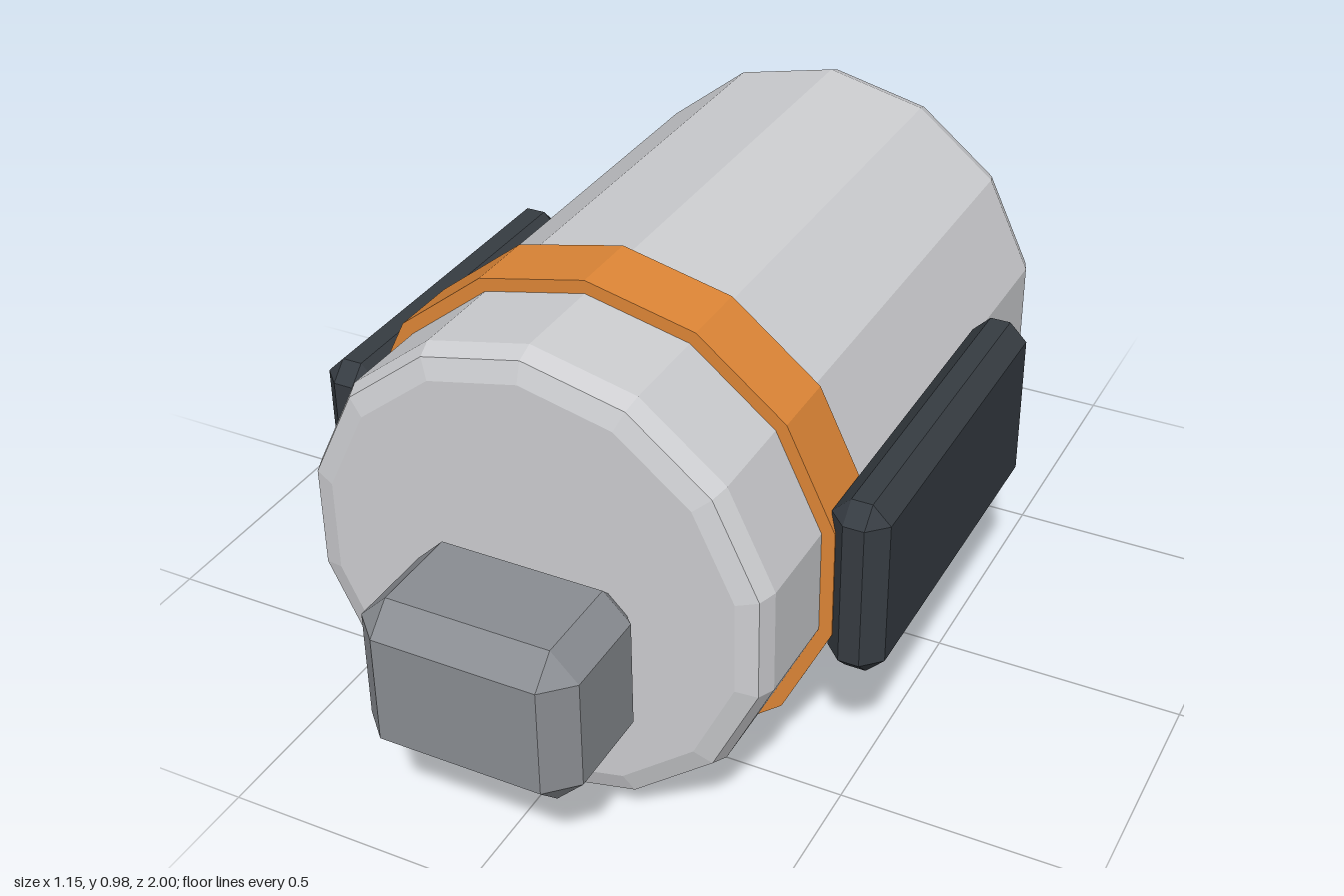
import * as THREE from 'three';
import { ConvexGeometry } from 'three/addons/geometries/ConvexGeometry.js';

const SIDES = 14;
const AXIS_Y = 0.494;

function material(name, color) {
  const m = new THREE.MeshStandardMaterial({ color, flatShading: true });
  m.name = name;
  return m;
}

// Faceted solid of revolution along z, from [radius, z] pairs running back to front
function turned(profile) {
  const points = profile.map(([r, z]) => new THREE.Vector2(r, z));
  return new THREE.LatheGeometry(points, SIDES).rotateX(Math.PI / 2).translate(0, AXIS_Y, 0);
}

// Box with every edge cut at 45 degrees
function chamferedBox(w, h, d, c) {
  const half = [w / 2, h / 2, d / 2];
  const points = [];
  for (const sx of [-1, 1]) for (const sy of [-1, 1]) for (const sz of [-1, 1]) {
    for (let full = 0; full < 3; full++) {
      const [x, y, z] = half.map((v, i) => (i === full ? v : v - c));
      points.push(new THREE.Vector3(sx * x, sy * y, sz * z));
    }
  }
  return new ConvexGeometry(points);
}

export function createModel() {
  const model = new THREE.Group();
  model.name = 'capsule';
  const lightGrey = material('light grey', 0xcdced1);
  const midGrey = material('mid grey', 0x8a8d92);
  const darkGrey = material('dark grey', 0x363c42);
  const orange = material('orange', 0xde8636);

  const add = (name, geometry, mat) => {
    const mesh = new THREE.Mesh(geometry, mat);
    mesh.name = name;
    model.add(mesh);
    return mesh;
  };

  // Barrel with softened rims
  add('body', turned([
    [0, -0.575], [0.41, -0.575], [0.45, -0.562], [0.464, -0.528],
    [0.464, 0.703], [0.45, 0.737], [0.41, 0.75], [0, 0.75],
  ]), lightGrey);

  // Raised band round the front of the barrel
  add('band', turned([
    [0.44, 0.378], [0.49, 0.378], [0.49, 0.517], [0.44, 0.517],
  ]), orange);

  // Rear collar and the stretched dome seated in it
  add('collar', turned([
    [0, -0.645], [0.393, -0.645], [0.393, -0.57], [0, -0.57],
  ]), darkGrey);
  const dome = new THREE.SphereGeometry(0.305, 10, 5).rotateY(Math.PI / 2);
  dome.scale(1, 1, 1.35).translate(0, AXIS_Y, -0.608);
  add('rearDome', dome, orange);

  // Block on the front face
  add('frontBlock', chamferedBox(0.426, 0.322, 0.285, 0.053), midGrey)
    .position.set(0, 0.387, 0.8575);

  // Side pods
  for (const [name, side] of [['leftPod', 1], ['rightPod', -1]]) {
    add(name, chamferedBox(0.11, 0.36, 0.75, 0.035), darkGrey)
      .position.set(side * 0.518, AXIS_Y, 0.16);
  }
  return model;
}
